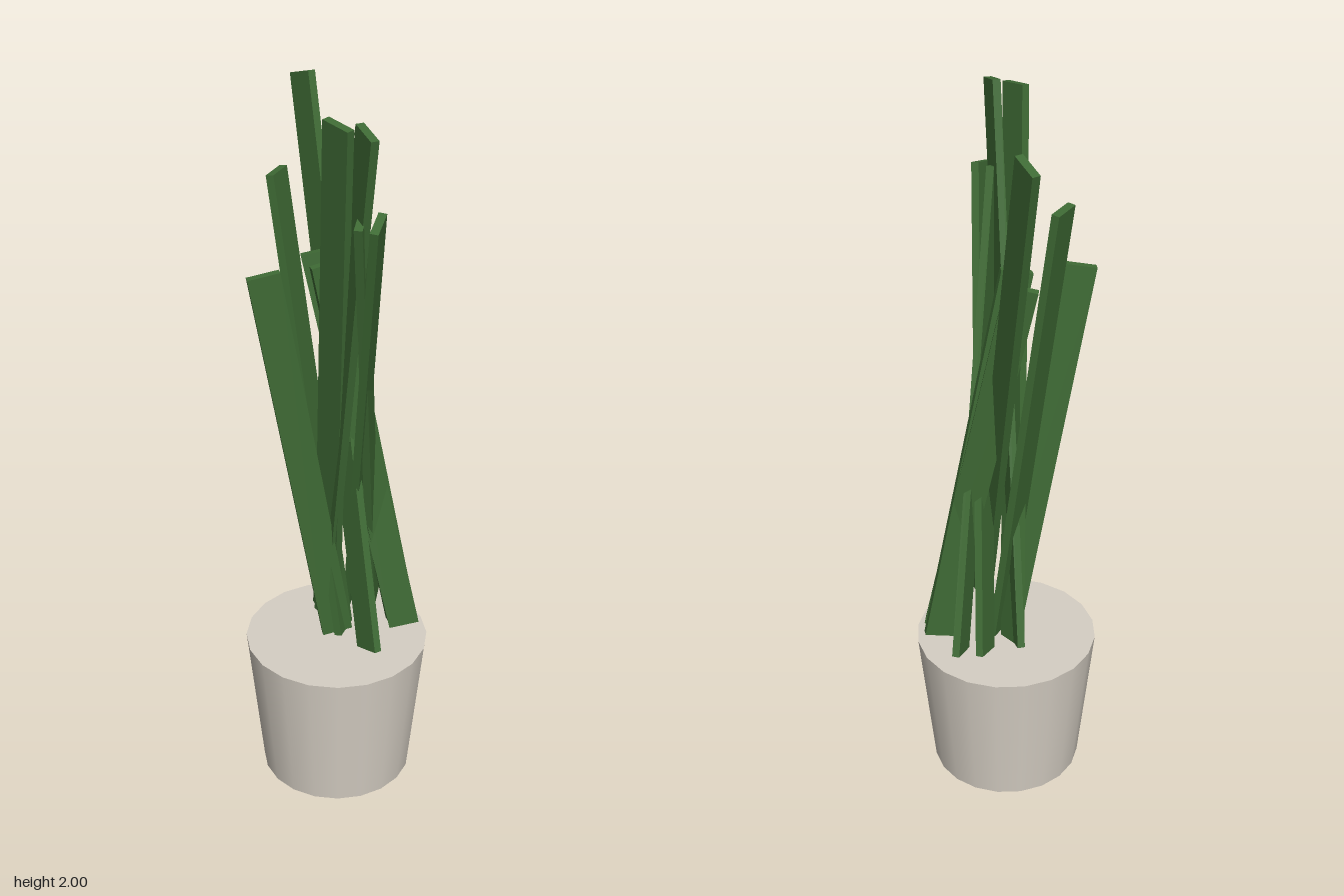
import * as THREE from 'three';

const LEAF_WIDTH = 0.085;
const LEAF_THICKNESS = 0.021;

// Leaves: centre of the tip, centre of the base, and the direction of the width seen from above (x, z)
const LEAVES = [
  { tip: [0.012, 1.97, -0.29], base: [0.045, 0.465, 0.165], wide: [0.28, 0.96] },
  { tip: [-0.198, 1.565, 0.032], base: [0.0, 0.445, 0.022], wide: [1, 0.12] },
  { tip: [-0.028, 1.57, 0.018], base: [0.195, 0.45, 0.018], wide: [1, 0] },
  { tip: [-0.116, 1.78, -0.11], base: [0.02, 0.445, 0.02], wide: [0.65, -0.76] },
  { tip: [-0.022, 1.565, -0.077], base: [0.188, 0.45, 0.062], wide: [0.96, 0.27] },
  { tip: [0.012, 1.765, 0.28], base: [0.085, 0.465, -0.108], wide: [-0.54, 0.84] },
  { tip: [-0.018, 1.765, 0.245], base: [0.152, 0.46, -0.09], wide: [-0.5, 0.87] },
  { tip: [-0.065, 1.99, 0.215], base: [-0.005, 0.45, -0.05], wide: [0.4, 0.92] },
  { tip: [-0.016, 1.985, 0.275], base: [-0.014, 0.455, -0.07], wide: [0.09, 1] },
];

// Flat blade running from base to tip, its width turned towards the given direction
function makeLeaf({ tip, base, wide }, material) {
  const a = new THREE.Vector3(...base);
  const b = new THREE.Vector3(...tip);
  const along = b.clone().sub(a);
  const length = along.length();
  along.normalize();
  const across = new THREE.Vector3(wide[0], 0, wide[1]);
  across.addScaledVector(along, -across.dot(along)).normalize();
  const normal = across.clone().cross(along);

  const leaf = new THREE.Mesh(new THREE.BoxGeometry(LEAF_WIDTH, length, LEAF_THICKNESS), material);
  leaf.quaternion.setFromRotationMatrix(new THREE.Matrix4().makeBasis(across, along, normal));
  leaf.position.copy(a).add(b).multiplyScalar(0.5);
  leaf.name = 'leaf';
  return leaf;
}

export function createModel() {
  const model = new THREE.Group();
  model.name = 'pottedPlant';

  const potMaterial = new THREE.MeshStandardMaterial({ color: 0xd6cfc4 });
  potMaterial.name = 'pale stone';
  const leafMaterial = new THREE.MeshStandardMaterial({ color: 0x3f6b35 });
  leafMaterial.name = 'leaf green';

  // Tapered pot with a closed top
  const pot = new THREE.Mesh(new THREE.CylinderGeometry(0.257, 0.214, 0.43, 20), potMaterial);
  pot.position.set(0, 0.215, 0.018);
  pot.name = 'pot';
  model.add(pot);

  // Upright leaves crossing above the pot
  const leaves = new THREE.Group();
  leaves.name = 'leaves';
  for (const data of LEAVES) leaves.add(makeLeaf(data, leafMaterial));
  model.add(leaves);

  return model;
}
